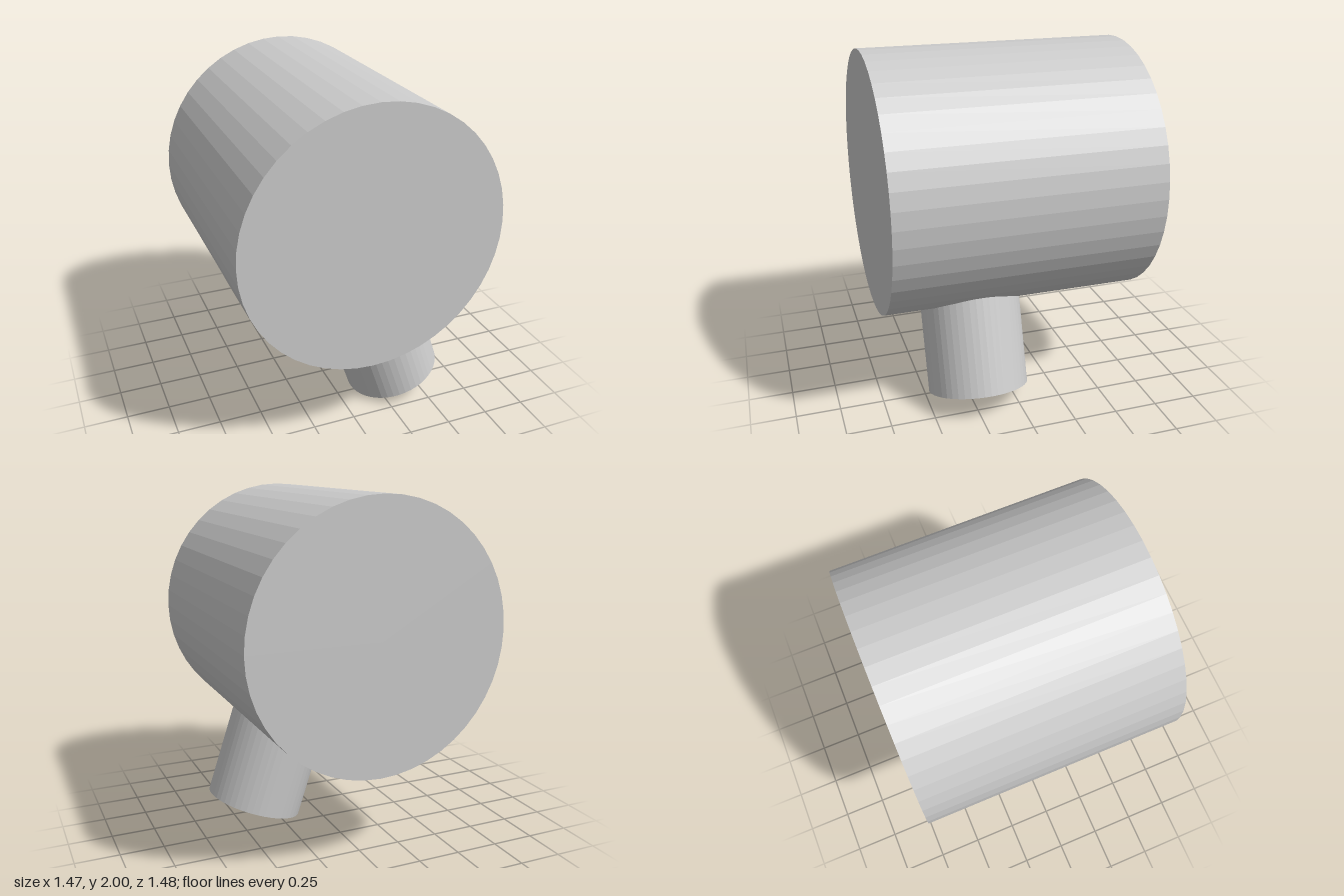
import * as THREE from 'three';

export function createModel() {
  const group = new THREE.Group();
  const material = new THREE.MeshStandardMaterial({ color: 0xcccccc, flatShading: true });

  const addCylinder = (name, radius, length, sides) => {
    const mesh = new THREE.Mesh(new THREE.CylinderGeometry(radius, radius, length, sides), material);
    mesh.name = name;
    group.add(mesh);
    return mesh;
  };

  // Large drum lying along z
  const drum = addCylinder('drum', 0.737, 1.476, 48);
  drum.rotation.x = Math.PI / 2;
  drum.position.y = 1.263;

  // Tilted stub below, its upper end buried in the drum
  const tilt = THREE.MathUtils.degToRad(18.4);
  const length = 0.75;
  const stub = addCylinder('stub', 0.2875, length, 48);
  stub.rotation.z = tilt;
  stub.position.set(
    0.378 - Math.sin(tilt) * length / 2,
    0.091 + Math.cos(tilt) * length / 2,
    0.212
  );

  return group;
}
